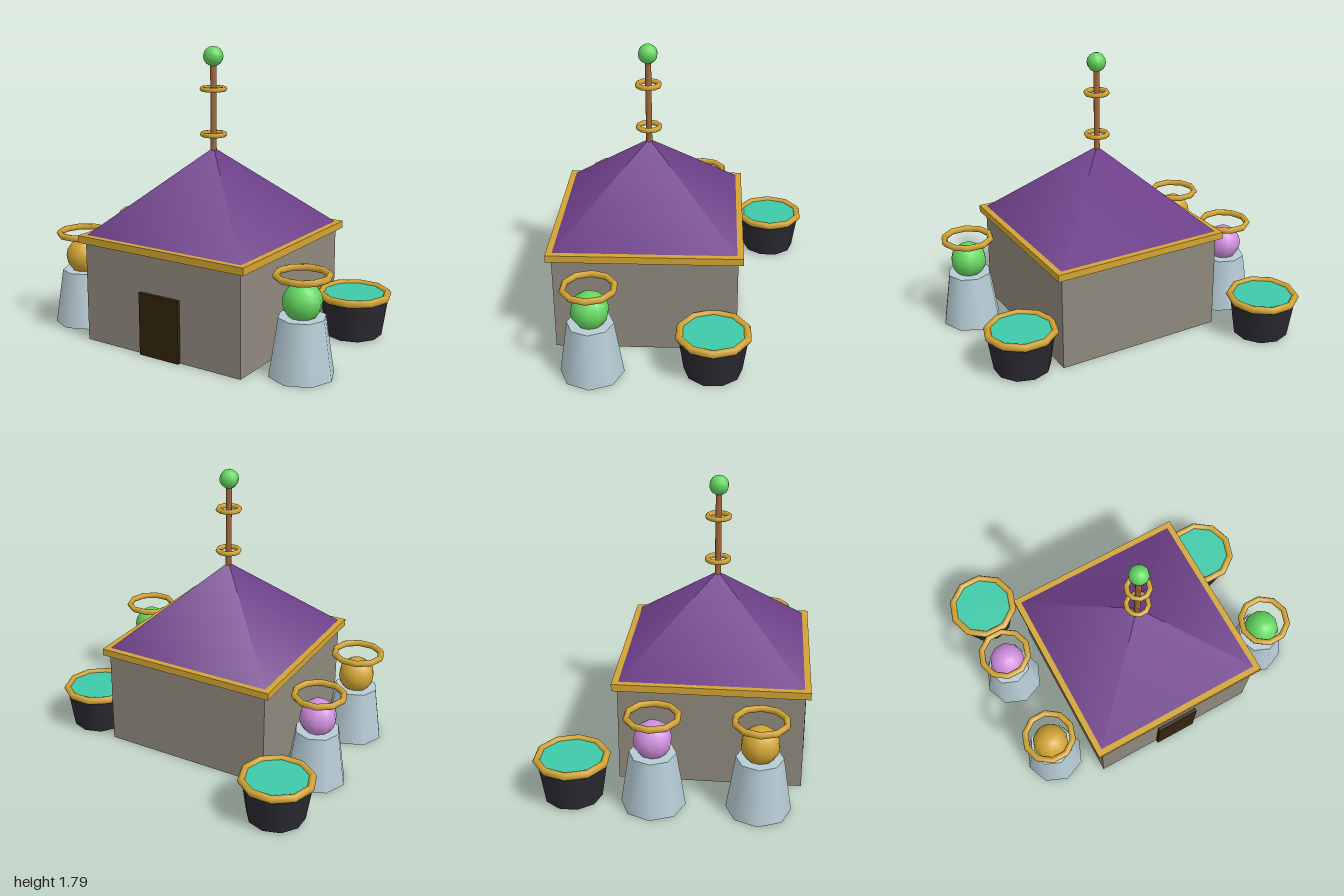
import * as THREE from 'three';

const mat = (name, color) => {
  const m = new THREE.MeshStandardMaterial({ color });
  m.name = name;
  return m;
};

export function createModel() {
  const stone = mat('stone', 0x8f897d);
  const gold = mat('gold', 0xd2a433);
  const purple = mat('purple', 0x6e3f8a);
  const darkWood = mat('darkWood', 0x33240f);
  const brown = mat('brown', 0xa3683a);
  const paleBlue = mat('paleBlue', 0xb7ccd5);
  const charcoal = mat('charcoal', 0x2a2a31);
  const teal = mat('teal', 0x3ecaa9);
  const green = mat('green', 0x64d660);
  const pink = mat('pink', 0xcf8fdd);

  const model = new THREE.Group();
  model.name = 'shrine';

  const add = (parent, name, geometry, material, x, y, z) => {
    const mesh = new THREE.Mesh(geometry, material);
    mesh.name = name;
    mesh.position.set(x, y, z);
    parent.add(mesh);
    return mesh;
  };
  // Horizontal ring
  const ring = (parent, name, radius, tube, y) =>
    add(parent, name, new THREE.TorusGeometry(radius, tube, 6, 10).rotateX(Math.PI / 2), gold, 0, y, 0);

  // House: walls, door, eaves and pyramid roof
  const house = new THREE.Group();
  house.name = 'house';
  house.position.z = 0.218;
  model.add(house);
  add(house, 'walls', new THREE.BoxGeometry(1.11, 0.62, 1.12), stone, 0, 0.31, 0);
  add(house, 'door', new THREE.BoxGeometry(0.28, 0.385, 0.04), darkWood, 0, 0.1925, 0.562);
  add(house, 'eaves', new THREE.BoxGeometry(1.18, 0.045, 1.18), gold, 0, 0.6425, 0);
  add(house, 'roof', new THREE.ConeGeometry(0.784, 0.51, 4).rotateY(Math.PI / 4), purple, 0, 0.918, 0);

  // Spire with two rings and an orb
  const spire = new THREE.Group();
  spire.name = 'spire';
  house.add(spire);
  add(spire, 'pole', new THREE.CylinderGeometry(0.019, 0.019, 0.56, 8), brown, 0, 1.41, 0);
  for (const y of [1.255, 1.53]) ring(spire, 'spireRing', 0.068, 0.016, y);
  add(spire, 'spireOrb', new THREE.SphereGeometry(0.061, 10, 8), green, 0, 1.725, 0);

  // Guardian statues: tapered body, round head, floating halo
  for (const [x, z, headMaterial] of [[-0.8, 0.523, gold], [0.8, 0.523, green], [-0.8, -0.1, pink]]) {
    const statue = new THREE.Group();
    statue.name = 'statue';
    statue.position.set(x, 0, z);
    model.add(statue);
    add(statue, 'body', new THREE.CylinderGeometry(0.14, 0.193, 0.347, 8), paleBlue, 0, 0.1735, 0);
    add(statue, 'head', new THREE.SphereGeometry(0.116, 10, 8), headMaterial, 0, 0.433, 0);
    ring(statue, 'halo', 0.153, 0.02, 0.585);
  }

  // Water tubs with golden rims
  for (const [x, z] of [[-0.767, -0.588], [0.767, -0.2]]) {
    const tub = new THREE.Group();
    tub.name = 'tub';
    tub.position.set(x, 0, z);
    model.add(tub);
    add(tub, 'tubBody', new THREE.CylinderGeometry(0.214, 0.177, 0.25, 10), charcoal, 0, 0.133, 0);
    add(tub, 'water', new THREE.CylinderGeometry(0.203, 0.203, 0.012, 10), teal, 0, 0.262, 0);
    ring(tub, 'rim', 0.21, 0.024, 0.262);
  }

  return model;
}
